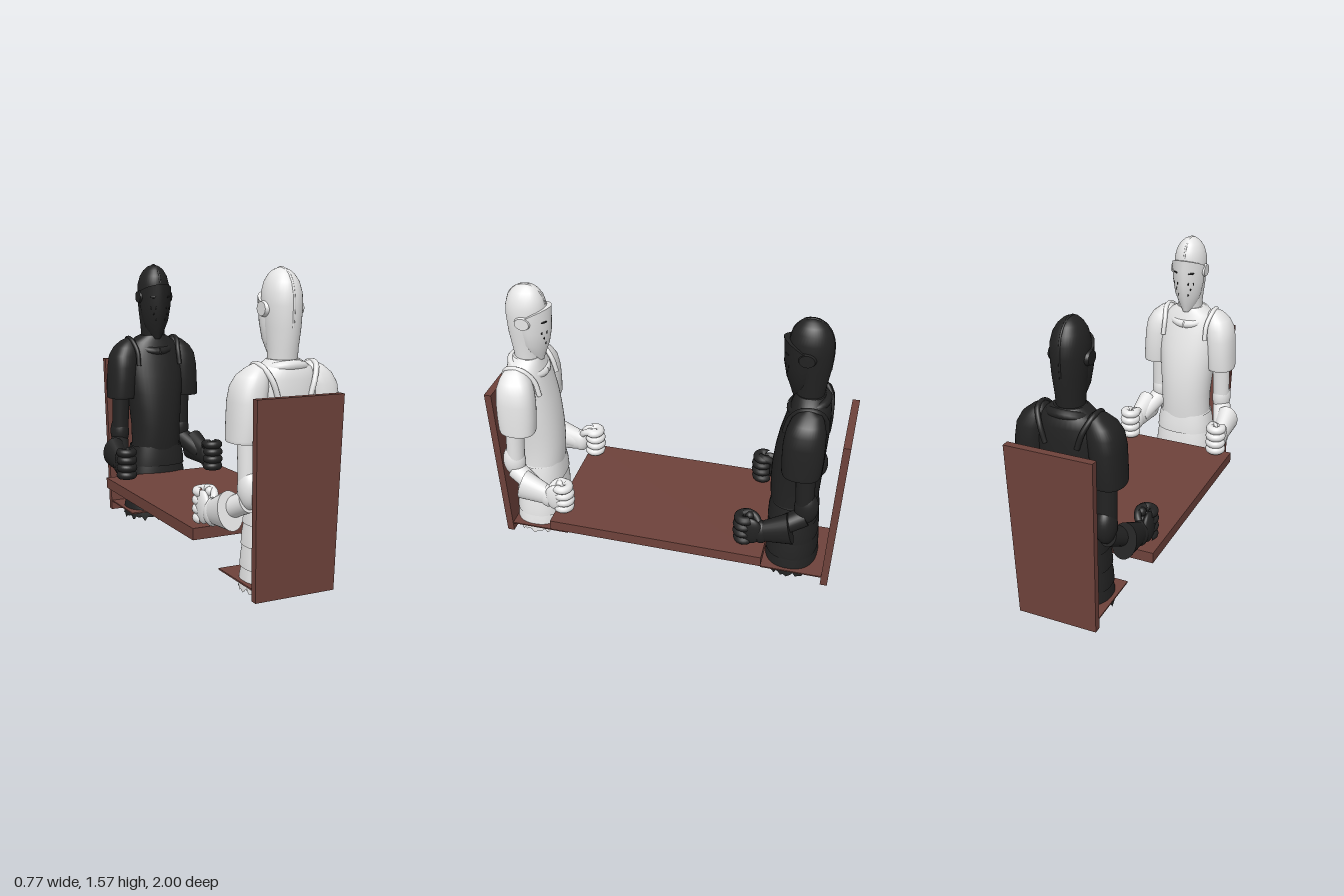
import * as THREE from 'three';

const mat = (name, color, side = THREE.FrontSide) => {
  const m = new THREE.MeshStandardMaterial({ color, side });
  m.name = name;
  return m;
};

function add(parent, name, geometry, material, pos = [0, 0, 0], scale = [1, 1, 1]) {
  const mesh = new THREE.Mesh(geometry, material);
  mesh.name = name;
  mesh.position.set(...pos);
  mesh.scale.set(...scale);
  parent.add(mesh);
  return mesh;
}

const superPow = (v, p) => Math.sign(v) * Math.abs(v) ** (2 / p);

// Stacked superellipse rings, from bottom to top: [y, halfWidth, zBack, zFront, centreX, sideDrop]
function loft(sections, { p = 2, n = 40, caps = true, ragged = 0 } = {}) {
  const pos = [], idx = [];
  const ring = ([y, hx, zb, zf, cx = 0, drop = 0], rough) => {
    for (let j = 0; j < n; j++) {
      const a = (j / n) * Math.PI * 2, c = Math.cos(a);
      const tear = rough * (Math.sin(j * 2.3) + Math.sin(j * 5.1)) * 0.5;
      pos.push(cx + hx * superPow(Math.sin(a), p), y - drop * (1 - Math.max(c, 0)) + tear,
        (zb + zf) / 2 + ((zf - zb) / 2) * superPow(c, p));
    }
  };
  sections.forEach((s, i) => ring(s, i === 0 ? ragged : 0));
  for (let i = 0; i < sections.length - 1; i++) {
    for (let j = 0; j < n; j++) {
      const k = (j + 1) % n, a = i * n + j, b = i * n + k;
      idx.push(a, b, b + n, a, b + n, a + n);
    }
  }
  if (caps) {
    [sections[0], sections[sections.length - 1]].forEach((s, top) => {
      const base = pos.length / 3;
      ring(s, 0);
      pos.push(s[4] || 0, s[0] - (s[5] || 0) / 2, (s[2] + s[3]) / 2);
      for (let j = 0; j < n; j++) {
        const a = base + j, b = base + ((j + 1) % n);
        top ? idx.push(a, b, base + n) : idx.push(b, a, base + n);
      }
    });
  }
  const g = new THREE.BufferGeometry();
  g.setAttribute('position', new THREE.Float32BufferAttribute(pos, 3));
  g.setIndex(idx);
  g.computeVertexNormals();
  return g;
}

// Tapered limb segment between two points; flat narrows its width in x
function limb(parent, name, material, a, b, ra, rb, flat = 1) {
  const va = new THREE.Vector3(...a), vb = new THREE.Vector3(...b), d = vb.clone().sub(va);
  const mesh = add(parent, name, new THREE.CylinderGeometry(rb, ra, d.length(), 28), material);
  mesh.scale.x = flat;
  mesh.position.copy(va).add(vb).multiplyScalar(0.5);
  mesh.quaternion.setFromUnitVectors(new THREE.Vector3(0, 1, 0), d.normalize());
}

function tube(parent, name, material, pts, r) {
  const curve = new THREE.CatmullRomCurve3(pts.map(q => new THREE.Vector3(...q)));
  return add(parent, name, new THREE.TubeGeometry(curve, 32, r, 10), material);
}

function arm(armor) {
  const g = new THREE.Group();
  g.name = 'arm';
  add(g, 'pauldron', loft([
    [0.77, 0.08, -0.14, 0.06, 0.21], [0.785, 0.082, -0.145, 0.065, 0.21], [0.87, 0.084, -0.15, 0.07, 0.204],
    [0.96, 0.086, -0.15, 0.07, 0.198], [1.03, 0.085, -0.145, 0.06, 0.188], [1.08, 0.072, -0.13, 0.04, 0.172],
    [1.115, 0.045, -0.11, 0.01, 0.155], [1.138, 0.012, -0.06, -0.03, 0.147]], { p: 2.3 }), armor);
  tube(g, 'pauldronRim', armor, [[0.085, 0.97, -0.142], [0.115, 1.06, -0.135], [0.147, 1.125, -0.09],
    [0.15, 1.125, -0.01], [0.135, 1.06, 0.05], [0.135, 0.97, 0.075]], 0.014);
  limb(g, 'upperArm', armor, [0.2, 0.85, -0.06], [0.205, 0.56, -0.075], 0.054, 0.05);
  add(g, 'elbowCop', new THREE.SphereGeometry(1, 28, 18), armor, [0.205, 0.55, -0.085], [0.056, 0.1, 0.066]);
  limb(g, 'forearm', armor, [0.21, 0.49, -0.08], [0.275, 0.4, 0.1], 0.056, 0.05);
  limb(g, 'gauntletCuff', armor, [0.268, 0.435, -0.015], [0.282, 0.395, 0.14], 0.098, 0.062, 0.72);
  add(g, 'wrist', new THREE.SphereGeometry(1, 24, 16), armor, [0.284, 0.395, 0.14], [0.048, 0.072, 0.05]);
  // Palm on the outside, with curled fingers stacked one above another
  add(g, 'palm', new THREE.SphereGeometry(1, 24, 16), armor, [0.31, 0.41, 0.195], [0.028, 0.085, 0.065]);
  for (let i = 0; i < 4; i++) {
    const f = add(g, 'finger', new THREE.TorusGeometry(0.036, 0.025, 12, 24, Math.PI * 1.55), armor,
      [0.285, 0.345 + i * 0.045, 0.238 - Math.abs(i - 1.5) * 0.005]);
    f.rotation.set(Math.PI / 2, 0, -0.7);
    add(g, 'fingertip', new THREE.SphereGeometry(0.025, 12, 10), armor,
      [0.264, 0.345 + i * 0.045, 0.21]);
  }
  tube(g, 'thumb', armor, [[0.28, 0.44, 0.15], [0.255, 0.475, 0.18], [0.25, 0.49, 0.22], [0.265, 0.49, 0.25]], 0.02);
  return g;
}

function knight(name, armor, armorOpen, dark) {
  const g = new THREE.Group();
  g.name = name;

  // Breastplate, neck and collar
  add(g, 'breastplate', loft([
    [0.42, 0.15, -0.13, 0.13], [0.5, 0.148, -0.13, 0.138], [0.6, 0.15, -0.135, 0.143], [0.7, 0.16, -0.14, 0.14],
    [0.8, 0.17, -0.145, 0.13], [0.9, 0.18, -0.15, 0.113], [1, 0.182, -0.15, 0.088], [1.06, 0.17, -0.145, 0.072],
    [1.11, 0.14, -0.138, 0.058], [1.15, 0.08, -0.11, 0.045]], { p: 2.2 }), armor);
  const collar = [];
  for (let i = 0; i < 20; i++) {
    const a = (i / 20) * Math.PI * 2, c = Math.cos(a);
    collar.push([0.105 * Math.sin(a), 1.09 - 0.035 * c, -0.028 + 0.092 * c]);
  }
  collar.push(collar[0]);
  tube(g, 'collar', armor, collar, 0.025);

  // Skirt of overlapping bands, open underneath with two thighs inside
  const bands = 4, top = 0.46, low = 0.03, step = (top - low) / bands;
  for (let i = 0; i < bands; i++) {
    const y = low + i * step, w = 0.198 - i * 0.008, b = -0.162 + i * 0.007;
    add(g, 'skirtBand', loft([[y, w, b, 0.142], [y + step * 0.5, w - 0.004, b + 0.003, 0.14],
      [y + step + 0.012, w - 0.016, b + 0.012, 0.13]],
      { p: 2.4, n: 72, caps: false, ragged: i ? 0 : 0.02 }), armorOpen);
  }
  add(g, 'waistCover', loft([[0.44, 0.158, -0.135, 0.135], [0.475, 0.148, -0.13, 0.13]], { p: 2.3 }), armor);
  for (const s of [-1, 1]) {
    add(g, 'thigh', loft([[0.035, 0.086, -0.12, 0.11, s * 0.095], [0.25, 0.08, -0.11, 0.1, s * 0.09]],
      { caps: false, ragged: 0.012, n: 48 }), armorOpen);
    const side = arm(armor);
    side.name = s > 0 ? 'leftArm' : 'rightArm';
    side.scale.x = s;
    g.add(side);
  }

  // Helmet with crest, pointed visor and pivots
  add(g, 'helmet', loft([
    [1.12, 0.07, -0.1, 0.045], [1.2, 0.073, -0.11, 0.055], [1.3, 0.085, -0.125, 0.08], [1.4, 0.094, -0.13, 0.098],
    [1.46, 0.092, -0.126, 0.1], [1.51, 0.079, -0.11, 0.088], [1.545, 0.058, -0.085, 0.066],
    [1.567, 0.034, -0.055, 0.042], [1.576, 0.01, -0.02, 0.01]]), armor);
  tube(g, 'crest', armor, [[0, 1.3, -0.121], [0, 1.4, -0.127], [0, 1.47, -0.12], [0, 1.535, -0.09], [0, 1.572, -0.03],
    [0, 1.574, 0.01], [0, 1.535, 0.07], [0, 1.47, 0.096]], 0.006);
  const visor = [[1.13, 0.02, 0.02, 0.064], [1.17, 0.05, -0.04, 0.078], [1.24, 0.08, -0.07, 0.104],
    [1.32, 0.094, -0.085, 0.121], [1.4, 0.1, -0.09, 0.126], [1.465, 0.099, -0.09, 0.131, 0, 0.045]];
  add(g, 'visor', loft(visor, { p: 1.65 }), armor);

  // Eye slits and breathing holes lie on the visor surface
  const opening = (label, y, a, w, h) => {
    const i = Math.max(0, visor.findIndex(s => s[0] > y) - 1), A = visor[i], B = visor[i + 1];
    const t = (y - A[0]) / (B[0] - A[0]), v = A.map((q, k) => q + ((B[k] ?? q) - q) * t);
    const at = r => new THREE.Vector3(v[1] * superPow(Math.sin(r), 1.65), y,
      (v[2] + v[3]) / 2 + ((v[3] - v[2]) / 2) * superPow(Math.cos(r), 1.65));
    const q = at(a), d = at(a + 0.02).sub(at(a - 0.02));
    const m = add(g, label, new THREE.SphereGeometry(1, 12, 8), dark, q.toArray(), [w, h, 0.003]);
    m.rotation.y = Math.atan2(-d.z, d.x);
  };
  for (const s of [-1, 1]) {
    opening('eyeSlit', 1.385, s * 0.6, 0.02, 0.006);
    for (const [y, a] of [[1.32, 0.45], [1.32, 0.75], [1.285, 0.6], [1.25, 0.45]]) {
      opening('breathHole', y, s * a, 0.004, 0.009);
    }
    const pivot = add(g, 'visorPivot', new THREE.CylinderGeometry(0.034, 0.04, 0.02, 28), armor, [s * 0.096, 1.385, -0.005], [1, 1, 1.2]);
    pivot.rotation.z = -s * Math.PI / 2;
  }
  return g;
}

function chair(wood) {
  const g = new THREE.Group();
  g.name = 'chair';
  // Backrest leans back and widens towards the top
  const back = new THREE.BoxGeometry(0.435, 0.97, 0.04);
  const p = back.attributes.position;
  for (let i = 0; i < p.count; i++) {
    const t = p.getY(i) / 0.97 + 0.5;
    p.setX(i, p.getX(i) * (1 + 0.08 * t));
    p.setZ(i, p.getZ(i) + 0.035 * t);
  }
  back.computeVertexNormals();
  add(g, 'chairBack', back, wood, [-0.016, 0.505, 0.945]);
  add(g, 'chairSeat', new THREE.BoxGeometry(0.43, 0.008, 0.36), wood, [-0.016, 0.074, 0.76]);
  return g;
}

export function createModel() {
  const model = new THREE.Group();
  model.name = 'knightsAtTable';
  const wood = mat('brownWood', 0x6e423b);
  const white = mat('whiteArmor', 0xe6e6e6), whiteOpen = mat('whiteArmorOpen', 0xe6e6e6, THREE.DoubleSide);
  const black = mat('blackArmor', 0x222222), blackOpen = mat('blackArmorOpen', 0x222222, THREE.DoubleSide);
  const dark = mat('darkOpening', 0x141414);

  add(model, 'tableTop', new THREE.BoxGeometry(0.77, 0.06, 1.21), wood, [0, 0.28, 0]);
  const front = chair(wood), rear = chair(wood);
  rear.scale.z = -1;
  model.add(front, rear);

  const whiteKnight = knight('whiteKnight', white, whiteOpen, dark);
  whiteKnight.rotation.y = Math.PI;
  whiteKnight.position.set(-0.015, 0, 0.79);
  const blackKnight = knight('blackKnight', black, blackOpen, dark);
  blackKnight.position.set(-0.015, 0, -0.72);
  model.add(whiteKnight, blackKnight);
  return model;
}
